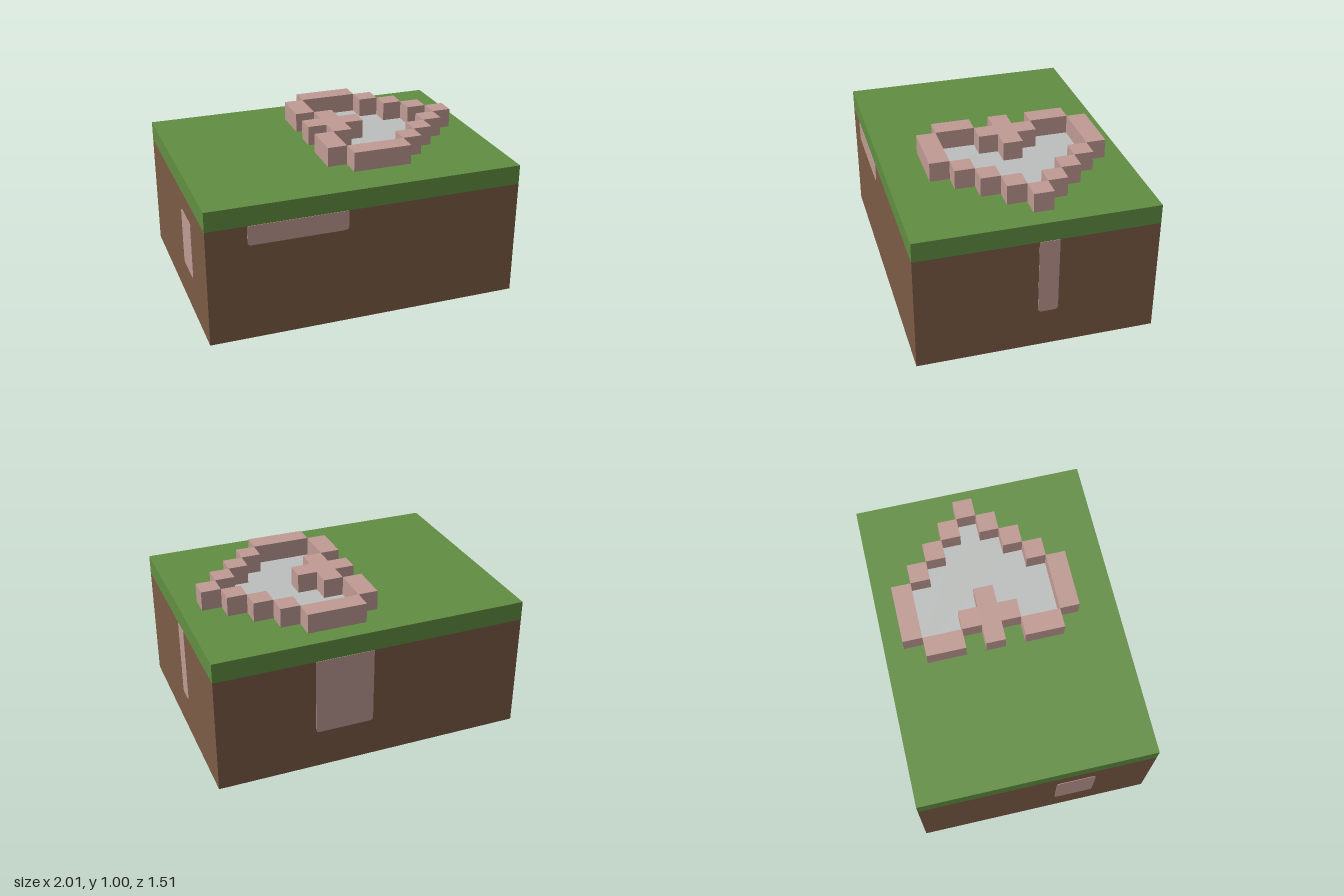
import * as THREE from 'three';

const U = 0.125; // block size; layouts below are in blocks

const paint = (name, color) => {
  const m = new THREE.MeshStandardMaterial({ color });
  m.name = name;
  return m;
};

const toPoints = (pts) => pts.map(([x, z]) => new THREE.Vector2(x * U, -z * U));

// Horizontal slab from an outline of [x, z] block coordinates
function slab(outline, y, height, holes = []) {
  const shape = new THREE.Shape(toPoints(outline));
  holes.forEach((h) => shape.holes.push(new THREE.Path(toPoints(h))));
  const geo = new THREE.ExtrudeGeometry(shape, { depth: height, bevelEnabled: false });
  return geo.rotateX(-Math.PI / 2).translate(0, y, 0);
}

const rect = (x0, z0, x1, z1) => [[x0, z0], [x0, z1], [x1, z1], [x1, z0]];

// Thin wall plate with rounded bottom corners, and rounded top corners if asked
function plate(a0, a1, y0, y1, roundTop) {
  const r = 0.025;
  const t = roundTop ? r : 0;
  const s = new THREE.Shape();
  s.moveTo(a0 + r, y0);
  s.lineTo(a1 - r, y0);
  s.quadraticCurveTo(a1, y0, a1, y0 + r);
  s.lineTo(a1, y1 - t);
  if (t) s.quadraticCurveTo(a1, y1, a1 - t, y1);
  s.lineTo(a0 + t, y1);
  if (t) s.quadraticCurveTo(a0, y1, a0, y1 - t);
  s.lineTo(a0, y0 + r);
  s.quadraticCurveTo(a0, y0, a0 + r, y0);
  return new THREE.ExtrudeGeometry(s, { depth: 0.003, bevelEnabled: false, curveSegments: 4 });
}

export function createModel() {
  const model = new THREE.Group();
  model.name = 'pondBlock';
  const soil = paint('soil brown', 0x7d5c46);
  const grass = paint('grass green', 0x628f42);
  const stone = paint('pink stone', 0xc19b94);
  const water = paint('pale grey water', 0xbdc0be);

  const add = (name, geo, mat, parent = model) => {
    const mesh = new THREE.Mesh(geo, mat);
    mesh.name = name;
    parent.add(mesh);
    return mesh;
  };

  // Ground: soil with a one-block pit underneath, then the turf
  const ground = rect(-8, -6, 8, 6);
  add('soilBottom', slab(ground, 0, U, [rect(0, -3, 1, -2)]), soil);
  add('soil', slab(ground, U, 5 * U), soil);
  add('turf', slab(ground, 6 * U, U), grass);

  // Pond surface, symmetric about z = -0.5 blocks
  const half = [[2, 0], [1, 0], [1, 1], [0, 1], [0, 3], [3, 3], [3, 2], [4, 2], [4, 1], [5, 1], [5, 0], [6, 0]];
  const mirrored = half.map(([x, z]) => [x, -1 - z]).reverse();
  add('water', slab([...half, ...mirrored], 7 * U, 0.003), water);

  // Stone rim: [x0, z0, x1, z1] for one half, mirrored to the other
  const rim = new THREE.Group();
  rim.name = 'stoneRim';
  model.add(rim);
  const addStone = (x0, z0, x1, z1) => add('rimStone', slab(rect(x0, z0, x1, z1), 7 * U, U), stone, rim);
  const sideStones = [[0, 0, 1, 1], [-1, 1, 0, 3], [0, 3, 3, 4], [3, 2, 4, 3], [4, 1, 5, 2], [5, 0, 6, 1]];
  for (const [x0, z0, x1, z1] of sideStones) {
    addStone(x0, z0, x1, z1);
    addStone(x0, -1 - z1, x1, -1 - z0);
  }
  addStone(-1, -1, 2, 0);
  addStone(6, -1, 7, 0);

  // Stone patches showing in the four soil walls
  const patch = (name, geo, angle, distance) => {
    geo.translate(0, 0, distance).rotateY(angle);
    add(name, geo, stone);
  };
  patch('frontPatch', plate(-6 * U, -U, 5 * U, 6 * U, false), 0, 0.75);
  patch('leftPatch', plate(0, U, 2 * U, 6 * U, false), Math.PI / 2, 1);
  patch('backPatch', plate(-3 * U, 0, 2 * U, 6 * U, false), Math.PI, 0.75);
  patch('rightPatch', plate(U, 3 * U, 2 * U, 5 * U, true), -Math.PI / 2, 1);

  return model;
}
